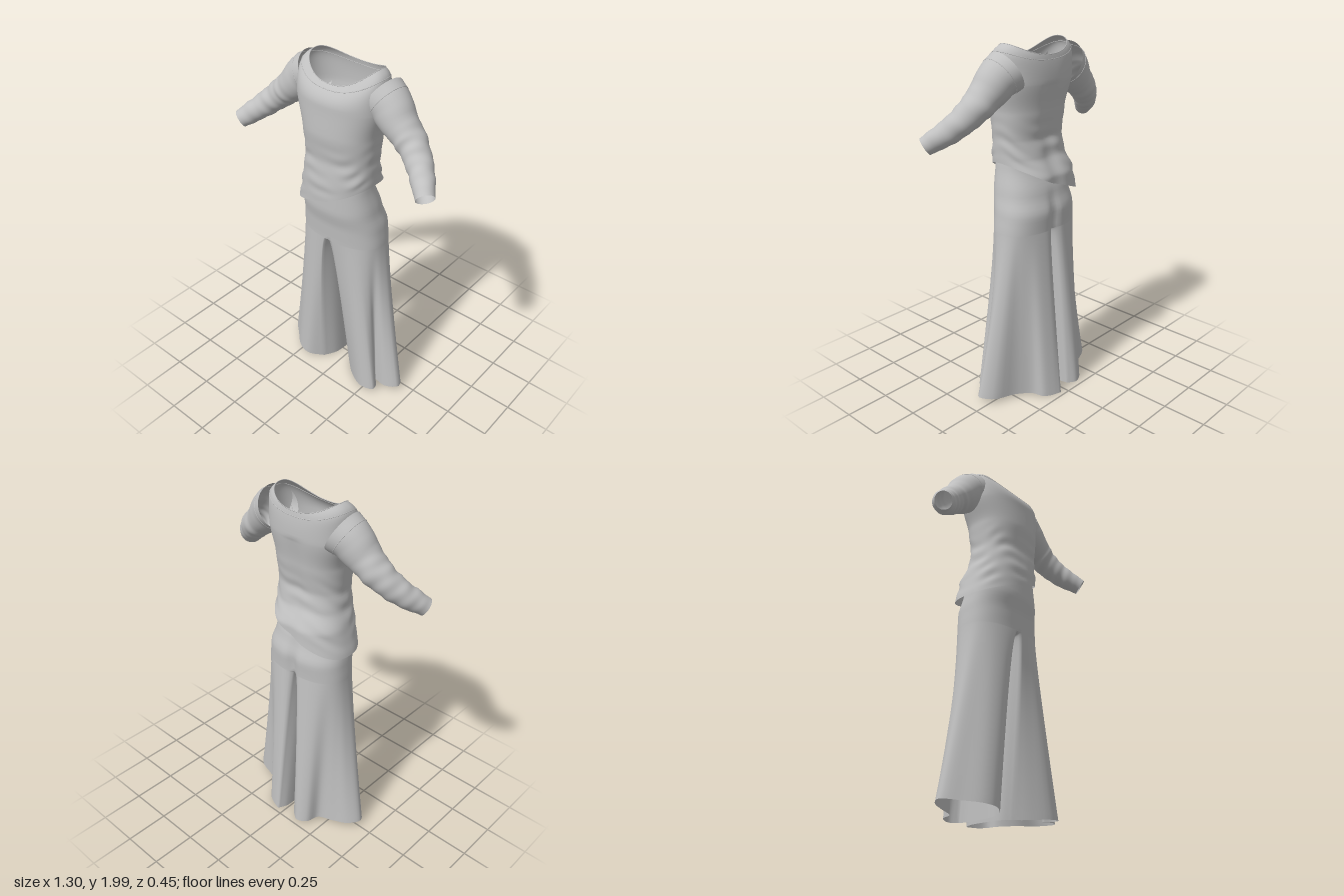
import * as THREE from 'three';
import { mergeGeometries, mergeVertices } from 'three/addons/utils/BufferGeometryUtils.js';

const { lerp, smoothstep } = THREE.MathUtils;
const TAU = Math.PI * 2;

// Skin closed rings of points, listed from top to bottom
function skin(rings) {
  const n = rings[0].length, pos = [], idx = [];
  rings.forEach(r => r.forEach(p => pos.push(p.x, p.y, p.z)));
  for (let j = 0; j < rings.length - 1; j++) {
    for (let i = 0; i < n; i++) {
      const a = j * n + i, b = j * n + (i + 1) % n;
      idx.push(a, a + n, b, a + n, b + n, b);
    }
  }
  const g = new THREE.BufferGeometry();
  g.setAttribute('position', new THREE.Float32BufferAttribute(pos, 3));
  g.setIndex(idx);
  g.computeVertexNormals();
  return g;
}

// Read a table of [y, ...values] (top first) with smooth blending
function profile(table, y) {
  let k = 0;
  while (k < table.length - 2 && y < table[k + 1][0]) k++;
  const a = table[k], b = table[k + 1];
  const u = Math.min(1, Math.max(0, (a[0] - y) / (a[0] - b[0])));
  const t = (smoothstep(u, 0, 1) + u) / 2;
  return a.slice(1).map((v, i) => lerp(v, b[i + 1], t));
}

// Rounded outline: angle 0 is the front, a quarter turn is +x
function outline(angle, [left, right, front, back], y, power = 0.85) {
  const s = Math.sin(angle), c = Math.cos(angle);
  const soft = v => Math.abs(v) < 1e-9 ? 0 : Math.sign(v) * Math.abs(v) ** power;
  const mid = (front + back) / 2, half = (front - back) / 2;
  return new THREE.Vector3(soft(s) * (s > 0 ? right : left), y, mid + soft(c) * half);
}

// Shirt half-widths (-x, +x) and front and back depth by height
const SHIRT = [
  [1.8, 0.252, 0.257, 0.212, -0.118], [1.65, 0.207, 0.228, 0.22, -0.1],
  [1.5, 0.197, 0.217, 0.206, -0.082], [1.4, 0.21, 0.217, 0.217, -0.1],
  [1.3, 0.24, 0.215, 0.22, -0.15], [1.15, 0.275, 0.24, 0.22, -0.158],
];

function neckPoint(a) {
  const c = Math.cos(a);
  const p = outline(a, [0.2, 0.21, 0.152, -0.106], 0, 0.88);
  p.y = 1.997 - (c > 0 ? 0.09 : 0.06) * Math.abs(c) ** 2;
  return p;
}

// Yoke surface: t = 0 at the chest, t = 1 at the neckline
function yokePoint(a, t) {
  const base = outline(a, SHIRT[0].slice(1), 1.8), neck = neckPoint(a);
  return new THREE.Vector3(lerp(base.x, neck.x, t ** 8), lerp(base.y, neck.y, t), lerp(base.z, neck.z, t ** 2.4));
}

function shirtBody() {
  const N = 96, rings = [];
  const around = f => Array.from({ length: N }, (_, i) => f(i / N * TAU));
  for (let j = 20; j > 0; j--) rings.push(around(a => yokePoint(a, (j / 20) ** 0.7)));
  for (let j = 0; j <= 44; j++) {
    rings.push(around(a => {
      const hem = 1.268 + 0.108 * Math.sin(a) - 0.012 * Math.max(0, -Math.cos(a));
      const y = lerp(1.8, hem, j / 44);
      const p = outline(a, profile(SHIRT, y), y);
      // slanting waist creases
      const fade = smoothstep(1.66 - y, 0, 0.2) * (1 - smoothstep(j, 38, 44));
      const crease = Math.sin(y * 70 - p.x * 22 + 2.2 * Math.sin(a * 3)) * (0.002 + 0.0015 * Math.sin(a * 5 + y * 20)) * fade;
      p.x += Math.sin(a) * crease;
      p.z += Math.cos(a) * crease;
      // shallow hollow along the spine
      if (Math.cos(a) < 0) p.z += 0.014 * Math.exp(-((p.x / 0.05) ** 2)) * (j / 44) ** 0.3;
      return p;
    }));
  }
  return skin(rings);
}

// Rings along a sleeve, with s = 1 for the +x arm
function sleeveRings(s) {
  const path = new THREE.CatmullRomCurve3([
    [0.215, 1.862, 0.01], [0.265, 1.834, 0.016], [0.33, 1.77, 0.028],
    [0.42, 1.693, 0.042], [0.51, 1.613, 0.09], [0.612, 1.526, 0.185],
  ].map(([x, y, z]) => new THREE.Vector3(x * s, y, z)));
  const radii = [[1, 0.118, 0.122], [0.84, 0.106, 0.104], [0.62, 0.083, 0.087], [0.38, 0.07, 0.07], [0.18, 0.061, 0.06], [0, 0.049, 0.047]];
  const rings = [];
  for (let j = 0; j <= 60; j++) {
    const t = j / 60, c = path.getPointAt(t), T = path.getTangentAt(t);
    const N = new THREE.Vector3(0, 0, 1).addScaledVector(T, -T.z).normalize();
    const B = new THREE.Vector3().crossVectors(N, T);
    const [rb, rn] = profile(radii, 1 - t);
    const fade = smoothstep(t, 0.25, 0.45) * (1 - smoothstep(t, 0.92, 1));
    rings.push(Array.from({ length: 40 }, (_, i) => {
      const a = i / 40 * TAU;
      const k = 1 + fade * (0.02 * Math.sin(t * 55 + 2 * Math.sin(a + s)) + 0.018 * Math.sin(t * 33 + 2 * a));
      return c.clone().addScaledVector(N, Math.cos(a) * rn * k).addScaledVector(B, Math.sin(a) * rb * k);
    }));
  }
  return rings;
}

// Trouser hips: half-widths, front and back depth by height
const HIPS = [
  [1.45, 0.175, 0.175, 0.185, -0.045], [1.35, 0.195, 0.192, 0.203, -0.058],
  [1.2, 0.237, 0.222, 0.205, -0.108], [1.1, 0.25, 0.245, 0.187, -0.138], [1.0, 0.257, 0.257, 0.18, -0.133],
];
const SEAT = 48; // samples on half of the hip outline

function hipPoint(a, y) {
  const p = outline(a, profile(HIPS, y), y);
  if (Math.cos(a) < 0) p.z += 0.022 * Math.exp(-((p.x / 0.03) ** 2)) * smoothstep(1.25 - y, 0, 0.2);
  return p;
}

// Folded hem outlines [x, z], running front, +x, back, -x
const HEMS = [
  { start: 0,
    outer: [[0.06, 0.07], [0.13, 0.13], [0.24, 0.183], [0.32, 0.165], [0.315, 0.125], [0.28, 0.09], [0.36, 0.1], [0.43, 0.055], [0.38, -0.02], [0.25, -0.06], [0.165, -0.12], [0.145, -0.18], [0.09, -0.21], [0.04, -0.225]],
    inner: [[0.015, -0.17], [0.015, -0.05], [0.025, 0.02]] },
  { start: Math.PI,
    outer: [[-0.06, -0.19], [-0.11, -0.218], [-0.17, -0.19], [-0.195, -0.12], [-0.28, -0.09], [-0.37, -0.05], [-0.415, 0.02], [-0.34, 0.1], [-0.26, 0.165], [-0.185, 0.178], [-0.1, 0.125]],
    inner: [[-0.06, 0.05], [-0.05, -0.05], [-0.05, -0.15]] },
];

function trouserLeg({ start, outer, inner }) {
  const M = 20, rings = [];
  const curve = pts => new THREE.CatmullRomCurve3(pts.map(([x, z]) => new THREE.Vector3(x, 0, z)));
  const outerHem = curve(outer);
  const innerHem = curve([outer[outer.length - 1], ...inner, outer[0]]);
  const from = hipPoint(start + Math.PI, 1), to = hipPoint(start, 1);
  for (let j = 0; j <= 40; j++) {
    const t = (j / 40) ** 1.5, ring = [];
    // a lower power parts the legs sooner below the crotch
    const drop = (top, hem, power) => {
      const floor = 0.008 + 0.1 * Math.max(0, Math.abs(hem.x) - 0.1);
      return new THREE.Vector3(lerp(top.x, hem.x, t ** power), lerp(top.y, floor, t), lerp(top.z, hem.z, t));
    };
    for (let i = 0; i < SEAT; i++) {
      const u = i / SEAT, edge = Math.abs(2 * u - 1) ** 8;
      ring.push(drop(hipPoint(start + u * Math.PI, 1), outerHem.getPoint(u), lerp(1.15, 0.35, edge)));
    }
    for (let i = 0; i < M; i++) {
      const w = i / M, top = from.clone().lerp(to, w);
      top.y -= 0.03 * Math.sin(Math.PI * w);
      ring.push(drop(top, innerHem.getPoint(w), 0.35));
    }
    rings.push(ring);
  }
  return skin(rings);
}

function trousers() {
  const rings = [];
  for (let j = 0; j <= 20; j++) {
    const y = lerp(1.45, 1, j / 20);
    rings.push(Array.from({ length: SEAT * 2 }, (_, i) => hipPoint(i / SEAT * Math.PI, y)));
  }
  const all = mergeGeometries([skin(rings), ...HEMS.map(trouserLeg)]);
  all.deleteAttribute('normal');
  const g = mergeVertices(all, 1e-4);
  g.computeVertexNormals();
  return g;
}

export function createModel() {
  const group = new THREE.Group();
  const cloth = new THREE.MeshStandardMaterial({ color: 0xc0c0c0, side: THREE.DoubleSide });
  cloth.name = 'grey cloth';
  const add = (name, geometry) => {
    const mesh = new THREE.Mesh(geometry, cloth);
    mesh.name = name;
    group.add(mesh);
  };
  const seam = (name, pts) =>
    add(name, new THREE.TubeGeometry(new THREE.CatmullRomCurve3(pts, true), 96, 0.002, 6, true));

  add('shirtBody', shirtBody());
  for (const [side, s] of [['left', 1], ['right', -1]]) {
    const rings = sleeveRings(s);
    add(side + 'Sleeve', skin(rings));
    seam(side + 'ArmholeSeam', rings[5]);
  }
  // neckline edge and the stitching below it
  const loop = t => Array.from({ length: 48 }, (_, i) => yokePoint(i / 48 * TAU, t));
  seam('necklineEdge', loop(1));
  seam('necklineStitching', loop(0.82));
  add('trousers', trousers());
  return group;
}
